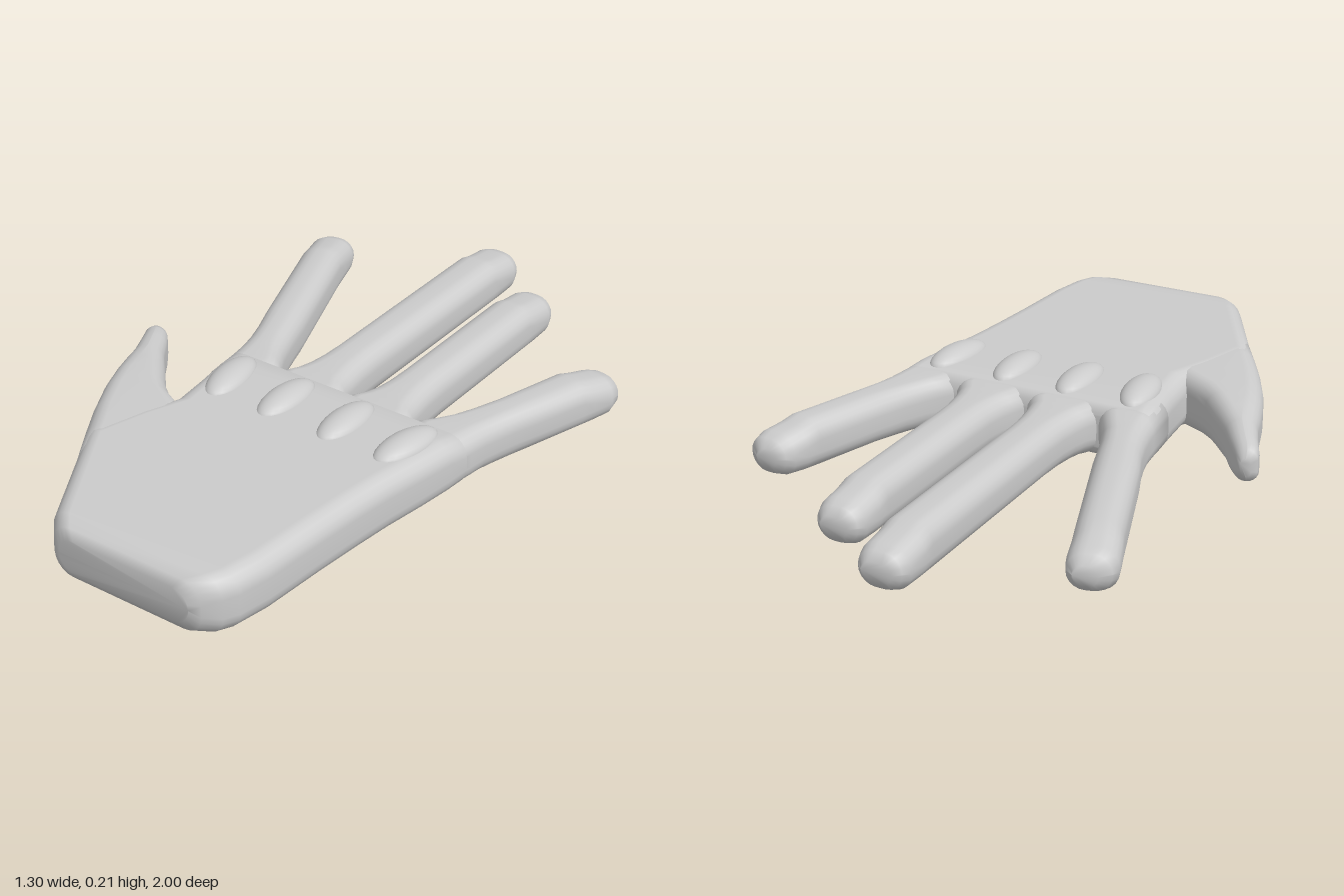
import * as THREE from 'three';

const material = new THREE.MeshStandardMaterial({ color: 0xcccccc });
const ARC = 5; // steps per rounded corner

// Skin over rounded-rectangle rings, each given as
// [left x, left z, right x, right z, bottom y, top y]
function loft(name, stations, radius) {
  const positions = [], indices = [];
  const n = 4 * (ARC + 1);
  for (const [lx, lz, rx, rz, y0, y1] of stations) {
    const half = Math.hypot(rx - lx, rz - lz) / 2, h = (y1 - y0) / 2;
    const ux = (rx - lx) / (2 * half), uz = (rz - lz) / (2 * half);
    const r = Math.min(radius, half * 0.98, h * 0.98);
    for (let q = 0; q < 4; q++) {
      const sx = q === 0 || q === 3 ? 1 : -1, sy = q < 2 ? 1 : -1;
      for (let k = 0; k <= ARC; k++) {
        const a = (q + k / ARC) * Math.PI / 2;
        const u = sx * (half - r) + r * Math.cos(a);
        const v = sy * (h - r) + r * Math.sin(a);
        positions.push((lx + rx) / 2 + ux * u, (y0 + y1) / 2 + v, (lz + rz) / 2 + uz * u);
      }
    }
  }
  const last = (stations.length - 1) * n;
  for (let i = 0; i < last; i += n) {
    for (let j = 0; j < n; j++) {
      const k = (j + 1) % n;
      indices.push(i + j, i + n + j, i + k, i + k, i + n + j, i + n + k);
    }
  }
  // end caps
  for (let j = 1; j < n - 1; j++) {
    indices.push(0, j, j + 1, last, last + j + 1, last + j);
  }
  const geometry = new THREE.BufferGeometry();
  geometry.setAttribute('position', new THREE.Float32BufferAttribute(positions, 3));
  geometry.setIndex(indices);
  geometry.computeVertexNormals();
  const mesh = new THREE.Mesh(geometry, material);
  mesh.name = name;
  return mesh;
}

// Straight finger: flared root, even shaft, lowered nail, blunt tip
function straightFinger(name, x0, x1, web0, web1, tip) {
  return loft(name, [
    [web0, 0.14, web1, 0.14, 0.02, 0.174],
    [web0 + 0.002, 0.02, web1 - 0.002, 0.02, 0.018, 0.172],
    [web0 + 0.02, -0.015, web1 - 0.02, -0.015, 0.02, 0.17],
    [x0 - 0.011, -0.06, x1 + 0.011, -0.06, 0.02, 0.168],
    [x0 - 0.003, -0.12, x1 + 0.003, -0.12, 0.02, 0.168],
    [x0, -0.2, x1, -0.2, 0.02, 0.168],
    [x0, tip + 0.16, x1, tip + 0.16, 0.02, 0.168],
    [x0, tip + 0.12, x1, tip + 0.12, 0.02, 0.157],
    [x0, tip + 0.05, x1, tip + 0.05, 0.023, 0.148],
    [x0 + 0.01, tip + 0.02, x1 - 0.01, tip + 0.02, 0.035, 0.138],
    [x0 + 0.03, tip, x1 - 0.03, tip, 0.058, 0.115],
  ], 0.055);
}

export function createModel() {
  const hand = new THREE.Group();
  hand.name = 'hand';

  // palm, from wrist to finger roots
  hand.add(loft('palm', [
    [-0.14, 1, 0.29, 1, 0.04, 0.145],
    [-0.17, 0.985, 0.32, 0.985, 0.015, 0.17],
    [-0.205, 0.945, 0.358, 0.945, 0.003, 0.18],
    [-0.23, 0.9, 0.378, 0.9, 0, 0.181],
    [-0.285, 0.8, 0.397, 0.8, 0, 0.181],
    [-0.395, 0.6, 0.413, 0.6, 0, 0.181],
    [-0.35, 0.45, 0.428, 0.45, 0, 0.181],
    [-0.3, 0.33, 0.444, 0.33, 0.002, 0.181],
    [-0.312, 0.2, 0.468, 0.2, 0.005, 0.181],
    [-0.325, 0.1, 0.485, 0.1, 0.009, 0.181],
    [-0.333, 0.04, 0.495, 0.04, 0.015, 0.175],
    [-0.325, 0.015, 0.488, 0.015, 0.035, 0.155],
  ], 0.06));

  // thumb, growing out of the side of the palm
  hand.add(loft('thumb', [
    [-0.28, 0.8, -0.08, 0.58, 0.002, 0.179],
    [-0.4, 0.6, -0.18, 0.42, 0.002, 0.179],
    [-0.46, 0.495, -0.25, 0.345, 0.003, 0.179],
    [-0.515, 0.385, -0.335, 0.302, 0.006, 0.178],
    [-0.55, 0.295, -0.385, 0.262, 0.01, 0.176],
    [-0.573, 0.225, -0.435, 0.205, 0.014, 0.172],
    [-0.588, 0.17, -0.505, 0.125, 0.018, 0.164],
    [-0.618, 0.1, -0.545, 0.065, 0.022, 0.157],
    [-0.645, 0.045, -0.575, 0.025, 0.03, 0.148],
    [-0.65, 0.02, -0.59, 0.008, 0.042, 0.138],
    [-0.637, 0.005, -0.607, -0.003, 0.06, 0.115],
  ], 0.055));

  // four fingers
  hand.add(loft('indexFinger', [
    [-0.325, 0.14, -0.165, 0.14, 0.02, 0.174],
    [-0.336, 0.02, -0.162, 0.02, 0.018, 0.172],
    [-0.344, -0.03, -0.185, -0.02, 0.02, 0.17],
    [-0.357, -0.085, -0.213, -0.07, 0.02, 0.168],
    [-0.378, -0.15, -0.24, -0.14, 0.02, 0.168],
    [-0.41, -0.23, -0.275, -0.25, 0.02, 0.168],
    [-0.538, -0.59, -0.412, -0.63, 0.02, 0.168],
    [-0.555, -0.635, -0.426, -0.675, 0.02, 0.157],
    [-0.578, -0.7, -0.445, -0.74, 0.023, 0.148],
    [-0.575, -0.735, -0.457, -0.765, 0.035, 0.138],
    [-0.55, -0.765, -0.483, -0.783, 0.058, 0.115],
  ], 0.055));
  hand.add(straightFinger('middleFinger', -0.12, 0.03, -0.162, 0.07, -1));
  hand.add(straightFinger('ringFinger', 0.115, 0.26, 0.07, 0.302, -0.83));
  hand.add(loft('littleFinger', [
    [0.3, 0.14, 0.476, 0.14, 0.02, 0.174],
    [0.302, 0.02, 0.497, 0.02, 0.018, 0.172],
    [0.328, -0.015, 0.506, -0.04, 0.02, 0.17],
    [0.357, -0.06, 0.52, -0.095, 0.02, 0.168],
    [0.385, -0.12, 0.538, -0.155, 0.02, 0.168],
    [0.417, -0.21, 0.56, -0.215, 0.02, 0.168],
    [0.482, -0.43, 0.617, -0.39, 0.02, 0.168],
    [0.495, -0.47, 0.63, -0.43, 0.02, 0.157],
    [0.51, -0.515, 0.65, -0.49, 0.023, 0.148],
    [0.525, -0.54, 0.648, -0.525, 0.035, 0.138],
    [0.55, -0.555, 0.615, -0.553, 0.058, 0.115],
  ], 0.055));

  // knuckles along the back of the hand
  const dome = new THREE.SphereGeometry(1, 24, 16);
  [[-0.225, 0.15], [-0.03, 0], [0.175, 0], [0.375, -0.15]].forEach(([x, turn], i) => {
    const knuckle = new THREE.Mesh(dome, material);
    knuckle.name = `knuckle${i + 1}`;
    knuckle.scale.set(0.055, 0.04, 0.12);
    knuckle.position.set(x, 0.17, 0.165);
    knuckle.rotation.y = turn;
    hand.add(knuckle);
  });

  return hand;
}
